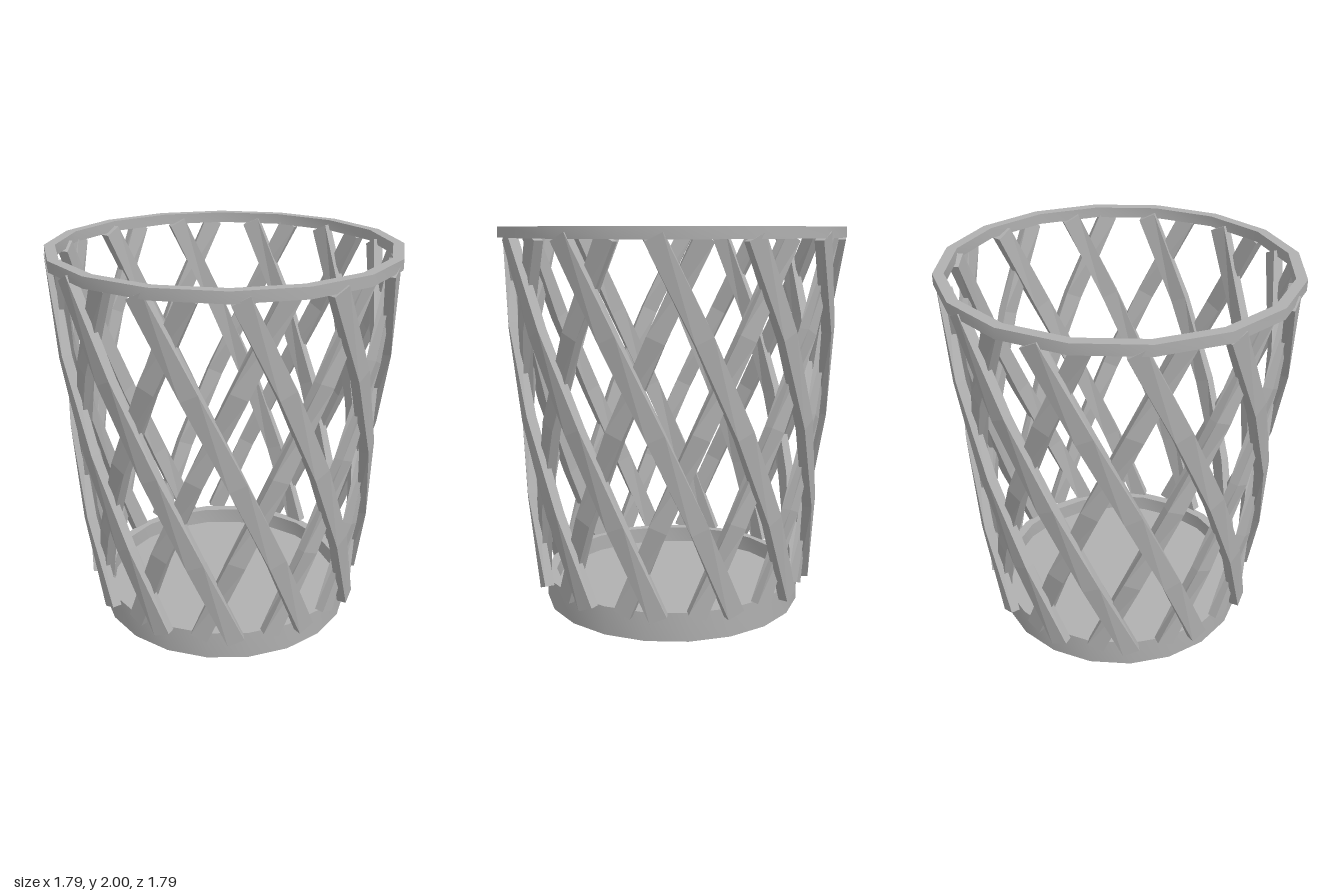
import * as THREE from 'three';
import { toCreasedNormals } from 'three/addons/utils/BufferGeometryUtils.js';

const DEG = Math.PI / 180;
const COUNT = 12;          // slats in each layer
const SEGMENTS = 4;        // straight runs along one slat
const TWIST = 60 * DEG;    // turn of a slat from bottom to top
const Y0 = 0.135, Y1 = 1.955;

// Surface of revolution with sharp rims and softly shaded walls
function turned(profile, sides, phase) {
  const points = profile.map(([r, y]) => new THREE.Vector2(r, y));
  return toCreasedNormals(new THREE.LatheGeometry(points, sides, phase), 35 * DEG);
}

// Rectangular bar swept along a widening helix; dir sets the way it leans
function slatGeometry(dir, rBottom, rTop, thickness, width) {
  const path = (t) => {
    const a = dir * TWIST * t;
    const r = THREE.MathUtils.lerp(rBottom, rTop, t);
    return new THREE.Vector3(r * Math.sin(a), THREE.MathUtils.lerp(Y0, Y1, t), r * Math.cos(a));
  };
  const positions = [], index = [];
  for (let i = 0; i <= SEGMENTS; i++) {
    const t = i / SEGMENTS;
    const p = path(t);
    const along = path(t + 0.001).sub(path(t - 0.001)).normalize();
    const out = new THREE.Vector3(p.x, 0, p.z).normalize();
    const side = along.clone().cross(out).normalize();
    for (const [u, v] of [[1, 1], [-1, 1], [-1, -1], [1, -1]]) {
      const corner = p.clone()
        .addScaledVector(out, u * thickness / 2)
        .addScaledVector(side, v * width / 2);
      positions.push(corner.x, corner.y, corner.z);
    }
    if (i === SEGMENTS) continue;
    for (let j = 0; j < 4; j++) {
      const a = i * 4 + j, b = i * 4 + (j + 1) % 4;
      index.push(a, b, b + 4, a, b + 4, a + 4);
    }
  }
  // End caps
  const e = SEGMENTS * 4;
  index.push(0, 3, 2, 0, 2, 1, e, e + 1, e + 2, e, e + 2, e + 3);
  const indexed = new THREE.BufferGeometry();
  indexed.setAttribute('position', new THREE.Float32BufferAttribute(positions, 3));
  indexed.setIndex(index);
  const geometry = indexed.toNonIndexed();
  geometry.computeVertexNormals();
  return geometry;
}

// Ring of equal slats around the axis
function slatLayer(name, geometry, material, offset) {
  const layer = new THREE.Group();
  layer.name = name;
  for (let k = 0; k < COUNT; k++) {
    const slat = new THREE.Mesh(geometry, material);
    slat.name = 'slat';
    slat.rotation.y = offset + k * 2 * Math.PI / COUNT;
    layer.add(slat);
  }
  return layer;
}

export function createModel() {
  const model = new THREE.Group();
  model.name = 'latticeBasket';
  const grey = new THREE.MeshStandardMaterial({ color: 0xb0b0b0 });
  grey.name = 'grey';

  // Shallow dish at the bottom
  const base = new THREE.Mesh(turned(
    [[0, 0], [0.69, 0], [0.69, 0.15], [0.64, 0.15], [0.64, 0.06], [0, 0.06]], 20, 0), grey);
  base.name = 'base';
  model.add(base);

  // Sixteen-sided hoop at the top
  const rim = new THREE.Mesh(turned(
    [[0.845, 1.945], [0.9, 1.945], [0.9, 2], [0.845, 2], [0.845, 1.945]], 16, 4.5 * DEG), grey);
  rim.name = 'rim';
  model.add(rim);

  // Two layers of slats leaning opposite ways
  model.add(slatLayer('outerSlats', slatGeometry(-1, 0.725, 0.868, 0.05, 0.092), grey, 0));
  model.add(slatLayer('innerSlats', slatGeometry(1, 0.695, 0.838, 0.05, 0.092), grey, 15 * DEG));
  return model;
}
